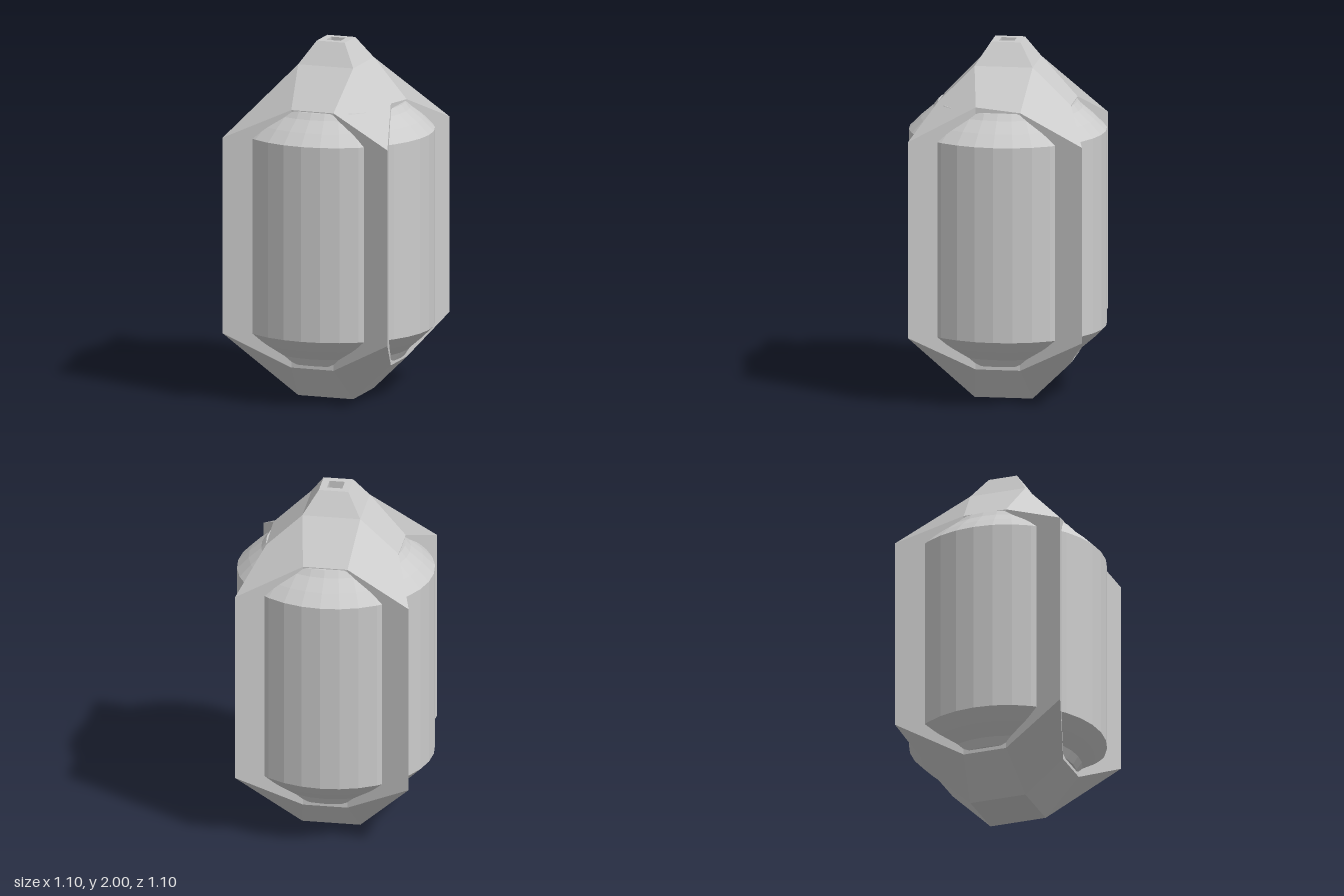
import * as THREE from 'three';

const material = new THREE.MeshStandardMaterial({ color: 0xcccccc });
const flatMaterial = new THREE.MeshStandardMaterial({ color: 0xcccccc, flatShading: true });

// Mesh from four-cornered facets, each split along its 2nd-4th corner and given a single normal
function facets(name, quads) {
  const positions = [], normals = [];
  for (const q of quads) {
    const [a, b, c, d] = q.map(p => new THREE.Vector3(...p));
    const n = c.clone().sub(a).cross(d.clone().sub(b)).normalize();
    for (const v of [a, b, d, b, c, d]) {
      positions.push(v.x, v.y, v.z);
      normals.push(n.x, n.y, n.z);
    }
  }
  const g = new THREE.BufferGeometry();
  g.setAttribute('position', new THREE.Float32BufferAttribute(positions, 3));
  g.setAttribute('normal', new THREE.Float32BufferAttribute(normals, 3));
  const mesh = new THREE.Mesh(g, material);
  mesh.name = name;
  return mesh;
}

// Facet spanning x = -w..w between a lower and an upper edge, each given as [w, y, z]
const band = ([w0, y0, z0], [w1, y1, z1]) =>
  [[-w0, y0, z0], [w0, y0, z0], [w1, y1, z1], [-w1, y1, z1]];

// One quarter of the frame, facing +z, with the corner wing at +x +z
function frameQuarter(k) {
  const quarter = new THREE.Group();
  quarter.name = 'frameQuarter';
  const top = 1.876, rim = 0.083, hole = 0.043, neck = 0.163;
  const low = 0.2, high = 1.66, raised = 1.685;
  const leftHigh = k === 1 ? raised : high;
  const sideHigh = k === 0 ? raised : high;
  const notchL = y => [-0.125, y, 0.372];
  const notchR = y => [0.125, y, 0.372];
  const notchSide = y => [0.372, y, 0.125];
  const corner = y => [0.488, y, 0.488];
  const cornerL = y => [-0.488, y, 0.488];

  // Neck and the socket in its top
  quarter.add(facets('neck', [
    band([neck, top, neck], [rim, 2, rim]),
    band([rim, 2, rim], [hole, 2, hole]),
    band([-hole, 1.93, hole], [-hole, 2, hole]),
    band([hole, 1.93, hole], [0, 1.93, 0]),
  ]));

  // Sloping roof with the corner wing
  const peak = [neck, top, neck];
  const wing = k === 0
    ? [corner(1.5), notchSide(sideHigh), peak, notchR(high)]
    : [notchR(high), corner(1.5), notchSide(sideHigh), peak];
  quarter.add(facets('roof', [
    [notchL(leftHigh), notchR(high), peak, [-neck, top, neck]],
    wing,
  ]));

  // Upright walls running from the corners in to the recess
  quarter.add(facets('wall', [
    [cornerL(0.39), notchL(low), notchL(leftHigh), cornerL(1.5)],
    [notchL(low), notchR(low), notchR(high), notchL(leftHigh)],
    [notchR(low), corner(0.39), corner(1.5), notchR(high)],
  ]));

  // Tapered base
  quarter.add(facets('base', [
    band([neck, 0, neck], [0.125, low, 0.372]),
    [notchSide(low), corner(0.39), notchR(low), [neck, 0, neck]],
    band([-neck, 0, neck], [0, 0, 0]),
  ]));

  quarter.rotation.y = k * Math.PI / 2;
  return quarter;
}

export function createModel() {
  const model = new THREE.Group();
  model.name = 'canister';

  // Round tank with stepped shoulders
  const profile = [
    [0, 0.22], [0.385, 0.22], [0.415, 0.265], [0.485, 0.325], [0.55, 0.39],
    [0.55, 1.495], [0.485, 1.56], [0.415, 1.62], [0.388, 1.655], [0, 1.655],
  ].map(([r, y]) => new THREE.Vector2(r, y));
  const tank = new THREE.Mesh(new THREE.LatheGeometry(profile, 32), flatMaterial);
  tank.name = 'tank';
  model.add(tank);

  // Four-cornered frame around the tank
  for (let k = 0; k < 4; k++) model.add(frameQuarter(k));
  return model;
}
